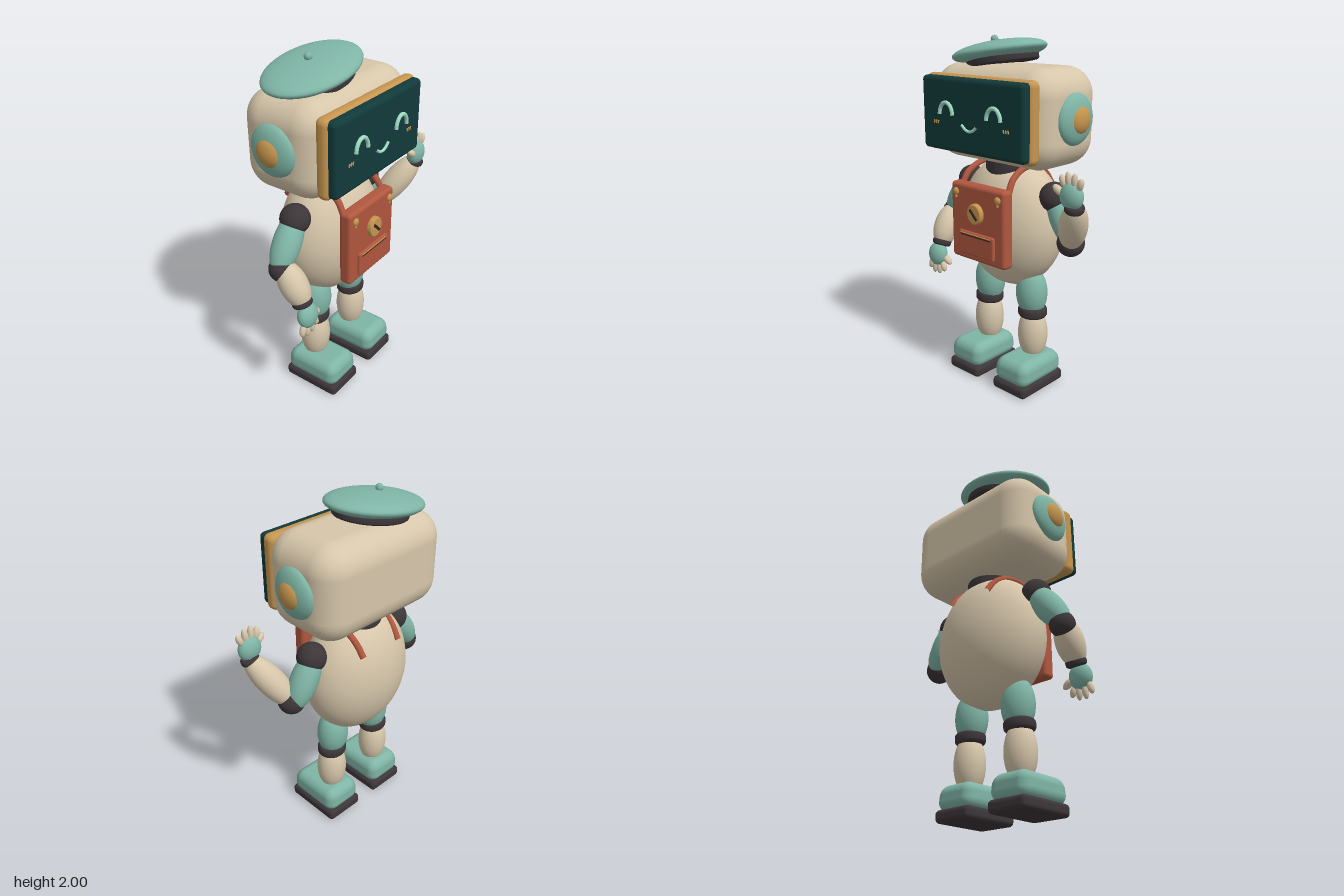
import * as THREE from 'three';
import { RoundedBoxGeometry } from 'three/addons/geometries/RoundedBoxGeometry.js';

const V = (x, y, z) => new THREE.Vector3(x, y, z);
const UP = V(0, 1, 0);
const CX = -0.06; // body midline

function paint(name, hex) {
  const m = new THREE.MeshStandardMaterial({ color: hex });
  m.name = name;
  return m;
}

export function createModel() {
  const cream = paint('cream shell', 0xd6c6aa);
  const teal = paint('soft teal', 0x7fb5a6);
  const dark = paint('charcoal joint', 0x3d3638);
  const amber = paint('amber trim', 0xc6954f);
  const rust = paint('rust leather', 0xb0573f);
  const glass = paint('dark screen', 0x123a3a);
  const mint = paint('mint glow', 0xa0dcc4);
  const brown = paint('dark brown', 0x35271f);

  const model = new THREE.Group();
  model.name = 'robot';
  const group = (name, parent = model) => {
    const g = new THREE.Group();
    g.name = name;
    parent.add(g);
    return g;
  };
  const add = (parent, name, geo, mat, x = 0, y = 0, z = 0) => {
    const m = new THREE.Mesh(geo, mat);
    m.name = name;
    m.position.set(x, y, z);
    parent.add(m);
    return m;
  };
  const ball = (parent, name, mat, x, y, z, rx, ry = rx, rz = rx) => {
    const m = add(parent, name, new THREE.SphereGeometry(1, 36, 24), mat, x, y, z);
    m.scale.set(rx, ry, rz);
    return m;
  };
  const slab = (parent, name, mat, x, y, z, w, h, d, r) =>
    add(parent, name, new RoundedBoxGeometry(w, h, d, 5, r), mat, x, y, z);
  // Ellipsoid stretched between two points
  const limb = (parent, name, mat, a, b, r, rz = r) => {
    const c = a.clone().add(b).multiplyScalar(0.5);
    const m = ball(parent, name, mat, c.x, c.y, c.z, r, a.distanceTo(b) / 2, rz);
    m.quaternion.setFromUnitVectors(UP, b.clone().sub(a).normalize());
    return m;
  };
  // Short cylinder with rounded rims
  const band = (parent, name, mat, p, r, h, e = 0.02, dir = UP) => {
    const pts = [new THREE.Vector2(0, -h / 2)];
    for (let i = 0; i <= 10; i++) {
      const t = -Math.PI / 2 + (i / 10) * Math.PI;
      pts.push(new THREE.Vector2(r - e + e * Math.cos(t), (h / 2 - e) * (i < 5 ? -1 : i > 5 ? 1 : 0) + e * Math.sin(t)));
    }
    pts.push(new THREE.Vector2(0, h / 2));
    const m = add(parent, name, new THREE.LatheGeometry(pts, 36), mat, p.x, p.y, p.z);
    m.quaternion.setFromUnitVectors(UP, dir.clone().normalize());
    return m;
  };
  const tube = (parent, name, mat, pts, r, n = 24) =>
    add(parent, name, new THREE.TubeGeometry(new THREE.CatmullRomCurve3(pts), n, r, 10), mat);

  // Head, bezel and screen
  const head = group('head');
  slab(head, 'headShell', cream, CX, 1.585, -0.05, 0.87, 0.53, 0.5, 0.15);
  slab(head, 'screenBezel', amber, CX, 1.587, 0.195, 0.785, 0.426, 0.08, 0.035);
  slab(head, 'screen', glass, CX, 1.59, 0.24, 0.755, 0.4, 0.07, 0.025);

  // Smiling face
  for (const s of [-1, 1]) {
    const ex = CX + s * 0.177;
    const arc = [];
    for (let i = 0; i <= 10; i++) {
      const t = Math.PI * (i / 10);
      arc.push(V(ex + 0.05 * Math.cos(t), 1.59 + 0.065 * Math.sin(t), 0.281));
    }
    tube(head, 'eye', mint, arc, 0.011);
    for (const t of [-1, 0, 1]) {
      const tick = slab(head, 'cheekTick', amber, CX + s * 0.26 + t * 0.016, 1.545, 0.276, 0.007, 0.02, 0.009, 0.003);
      tick.rotation.z = s * 0.2;
    }
    // Ear discs
    ball(head, 'earDisc', teal, CX + s * 0.432, 1.59, -0.058, 0.055, 0.137, 0.135);
    ball(head, 'earCap', amber, CX + s * 0.46, 1.59, -0.058, 0.044, 0.077, 0.077);
  }
  tube(head, 'mouth', mint, [-1, -0.5, 0, 0.5, 1].map((t) => V(CX + t * 0.056, 1.517 + 0.03 * t * t, 0.281)), 0.008);

  // Tilted beret
  const hat = group('beret');
  hat.position.set(-0.173, 1.91, -0.063);
  hat.rotation.z = 0.165;
  ball(hat, 'beretTop', teal, 0, 0, 0, 0.303, 0.06, 0.22);
  const rim = band(hat, 'beretBand', dark, V(0.02, -0.045, 0), 0.2, 0.05, 0.015);
  rim.scale.set(1.1, 1, 0.92);
  ball(hat, 'beretStem', teal, -0.02, 0.07, 0, 0.021);

  // Neck and egg-shaped body
  band(model, 'neck', dark, V(CX, 1.295, -0.045), 0.145, 0.13);
  const egg = [[0, 0.58], [0.08, 0.59], [0.16, 0.625], [0.23, 0.685], [0.285, 0.76], [0.322, 0.85], [0.337, 0.95],
    [0.327, 1.05], [0.298, 1.14], [0.25, 1.22], [0.185, 1.28], [0.1, 1.315], [0, 1.325]];
  const profile = new THREE.SplineCurve(egg.map((p) => new THREE.Vector2(...p))).getPoints(48);
  profile[0].x = profile[48].x = 0;
  add(model, 'body', new THREE.LatheGeometry(profile, 56), cream, CX, 0, -0.052).scale.z = 0.715;

  // Chest satchel with pocket, badge, clips and straps
  const bag = group('satchel');
  slab(bag, 'bagPanel', rust, CX, 0.995, 0.197, 0.412, 0.44, 0.076, 0.022);
  slab(bag, 'bagPocket', rust, CX, 0.88, 0.232, 0.272, 0.138, 0.036, 0.012);
  slab(bag, 'pocketTrim', brown, CX, 0.929, 0.249, 0.23, 0.009, 0.008, 0.003);
  slab(bag, 'pocketPiping', amber, CX, 0.937, 0.249, 0.23, 0.006, 0.009, 0.002);
  band(bag, 'badge', amber, V(CX, 1.06, 0.245), 0.054, 0.036, 0.01, V(0, 0, 1)).scale.z = 1.1;
  const slash = slab(bag, 'badgeSlash', brown, CX, 1.06, 0.264, 0.075, 0.016, 0.009, 0.004);
  slash.rotation.z = -0.8;
  for (const s of [-1, 1]) {
    const x = CX + s * 0.16;
    ball(bag, 'clip', amber, x, 1.163, 0.236, 0.021, 0.021, 0.014);
    slab(bag, 'clipTab', amber, x, 1.14, 0.236, 0.014, 0.03, 0.014, 0.005);
    tube(bag, 'strap', rust, [V(CX + s * 0.177, 1.19, 0.17), V(CX + s * 0.17, 1.255, 0.13), V(CX + s * 0.16, 1.295, 0.06),
      V(CX + s * 0.155, 1.31, -0.02), V(CX + s * 0.148, 1.285, -0.12), V(CX + s * 0.14, 1.235, -0.19),
      V(CX + s * 0.135, 1.165, -0.243)], 0.018, 40);
  }

  // Hand in its own frame: fingers point to +y, thumb side sets the x direction
  const hand = (parent, name, p, thumb, rotX, rotZ) => {
    const h = group(name, parent);
    h.position.copy(p);
    h.rotation.set(rotX, 0, rotZ);
    ball(h, 'palm', teal, 0, 0, 0, 0.068, 0.072, 0.046);
    [-0.05, -0.017, 0.018, 0.052].forEach((x, i) => {
      const tip = [0.105, 0.125, 0.122, 0.1][i];
      limb(h, 'finger', cream, V(x * 0.85, 0.035, 0), V(x * 1.25, tip, 0.008), 0.018);
    });
    limb(h, 'thumb', cream, V(thumb * 0.04, 0.0, 0.01), V(thumb * 0.105, 0.045, 0.015), 0.021);
  };

  // Raised left arm
  const leftArm = group('leftArm');
  ball(leftArm, 'shoulder', dark, 0.26, 1.16, -0.04, 0.083);
  limb(leftArm, 'upperArm', teal, V(0.24, 1.2, -0.05), V(0.41, 0.89, -0.045), 0.078);
  ball(leftArm, 'elbow', dark, 0.395, 0.935, -0.02, 0.076);
  limb(leftArm, 'forearm', cream, V(0.385, 0.91, -0.03), V(0.55, 1.21, 0.145), 0.078);
  band(leftArm, 'wrist', dark, V(0.532, 1.185, 0.135), 0.052, 0.045, 0.018, V(0.2, 1, 0.2));
  hand(leftArm, 'leftHand', V(0.522, 1.247, 0.146), -1, 0, 0);

  // Lowered right arm
  const rightArm = group('rightArm');
  ball(rightArm, 'shoulder', dark, -0.375, 1.16, -0.04, 0.083);
  limb(rightArm, 'upperArm', teal, V(-0.345, 1.2, -0.045), V(-0.56, 0.91, -0.025), 0.078);
  ball(rightArm, 'elbow', dark, -0.522, 0.935, -0.02, 0.07);
  limb(rightArm, 'forearm', cream, V(-0.52, 0.98, -0.02), V(-0.508, 0.74, 0.12), 0.078);
  band(rightArm, 'wrist', dark, V(-0.51, 0.765, 0.1), 0.057, 0.05, 0.02, V(0, 1, -0.4));
  hand(rightArm, 'rightHand', V(-0.51, 0.695, 0.135), 1, Math.PI - 0.15, 0);

  // Legs and boots
  for (const s of [-1, 1]) {
    const leg = group(s > 0 ? 'leftLeg' : 'rightLeg');
    const x = CX + s * 0.182;
    ball(leg, 'thigh', teal, CX + s * 0.167, 0.565, -0.035, 0.096, 0.15, 0.086);
    band(leg, 'knee', dark, V(CX + s * 0.175, 0.45, -0.035), 0.088, 0.066, 0.024).scale.z = 0.92;
    ball(leg, 'shin', cream, x - s * 0.004, 0.31, -0.035, 0.089, 0.165, 0.085);
    const upper = new RoundedBoxGeometry(0.245, 0.145, 0.35, 6, 0.055);
    const p = upper.attributes.position;
    for (let i = 0; i < p.count; i++) {
      const k = 1 - 0.08 * Math.max(0, p.getY(i) / 0.0725);
      p.setXYZ(i, p.getX(i) * k, p.getY(i), p.getZ(i) * k);
    }
    add(leg, 'boot', upper, teal, CX + s * 0.184, 0.128, 0.014);
    slab(leg, 'sole', dark, CX + s * 0.184, 0.035, 0.014, 0.245, 0.07, 0.36, 0.025);
  }
  return model;
}
